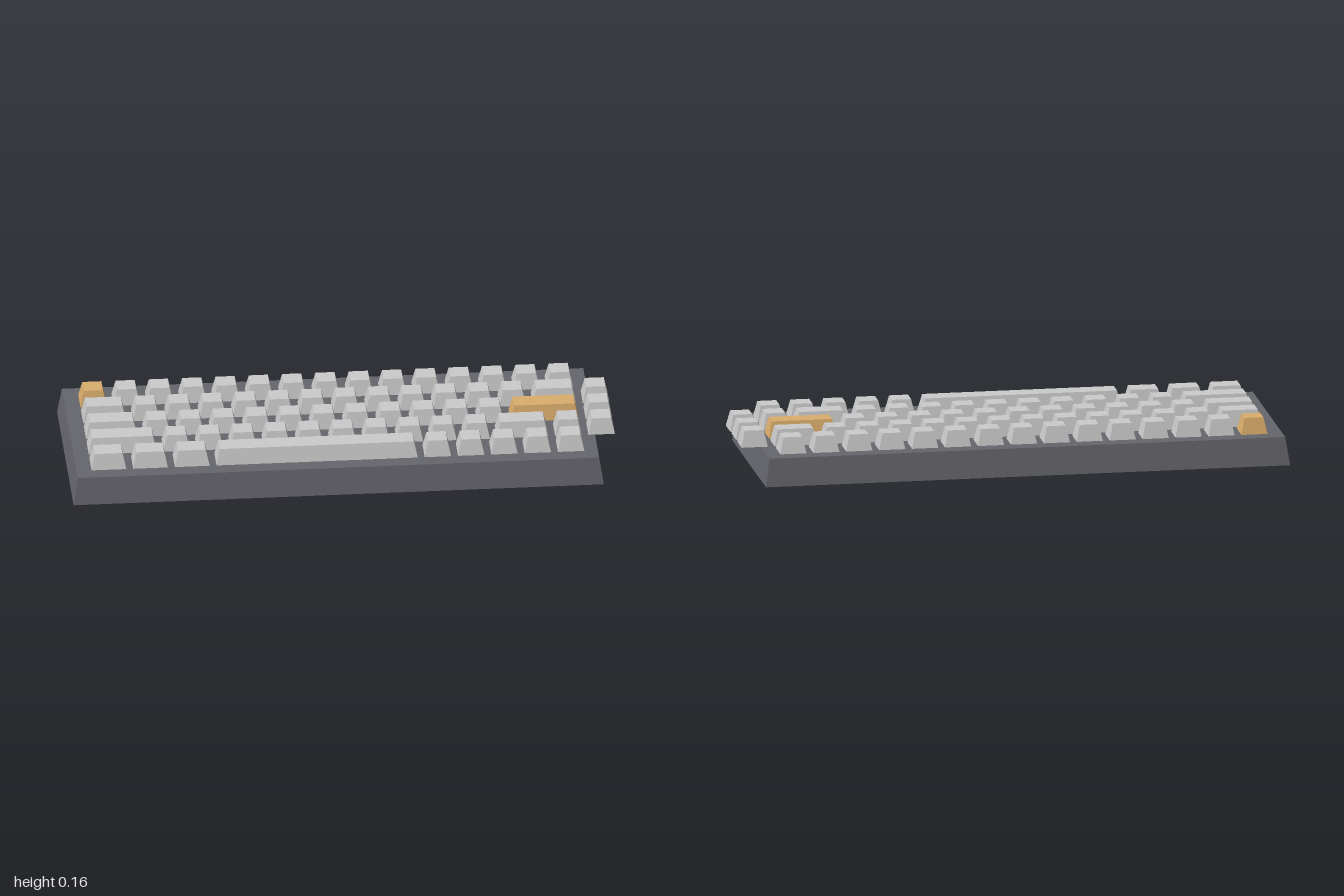
import * as THREE from 'three';

const UNIT = 0.122;      // key pitch
const GAP = 0.025;       // space between neighbouring keys
const LEFT = -0.941;     // left edge of the key grid
const CASE_TOP = 0.103;

const caseMaterial = new THREE.MeshStandardMaterial({ color: 0x66666d, flatShading: true });
const keyMaterial = new THREE.MeshStandardMaterial({ color: 0xcccccc, flatShading: true });
const accentMaterial = new THREE.MeshStandardMaterial({ color: 0xdbae6c, flatShading: true });

// Box standing on y = 0 whose top face is drawn in by the same inset on all sides
function taperedBox(width, height, depth, inset) {
  const geometry = new THREE.BoxGeometry(width, height, depth).translate(0, height / 2, 0);
  const p = geometry.attributes.position;
  for (let i = 0; i < p.count; i++) {
    if (p.getY(i) < height / 2) continue;
    p.setX(i, p.getX(i) - Math.sign(p.getX(i)) * inset);
    p.setZ(i, p.getZ(i) - Math.sign(p.getZ(i)) * inset);
  }
  geometry.computeVertexNormals();
  return geometry;
}

const ones = (n) => Array(n).fill(1);

// Key widths in units, from the back row to the front row
const rows = [
  { name: 'numberRow', widths: ones(15), accent: 0 },
  { name: 'upperRow', widths: [1.5, ...ones(12), 1.5, 1] },
  { name: 'homeRow', widths: [1.75, ...ones(11), 2.25, 1], accent: 12 },
  { name: 'lowerRow', widths: [2.25, ...ones(10), 1.75, 1, 1] },
  { name: 'spaceRow', widths: [1.25, 1.25, 1.25, 6.25, ...ones(5)] },
];

export function createModel() {
  const model = new THREE.Group();
  model.name = 'keyboard';

  // Case with sloping sides
  const body = new THREE.Mesh(taperedBox(1.942, CASE_TOP, 0.724, 0.016), caseMaterial);
  body.name = 'case';
  body.position.x = -0.029;
  model.add(body);

  // Keycaps, row by row; the last key of the longer rows overhangs the case
  rows.forEach(({ name, widths, accent }, r) => {
    const row = new THREE.Group();
    row.name = name;
    row.position.set(0, CASE_TOP + 0.001, (r - 2) * UNIT);
    let x = LEFT;
    widths.forEach((units, i) => {
      const span = units * UNIT;
      const key = new THREE.Mesh(
        taperedBox(span - GAP, 0.06, UNIT - GAP, 0.0135),
        i === accent ? accentMaterial : keyMaterial
      );
      key.name = units > 6 ? 'spaceBar' : i === accent ? 'accentKey' : 'key';
      key.position.x = x + span / 2;
      row.add(key);
      x += span;
    });
    model.add(row);
  });

  return model;
}
